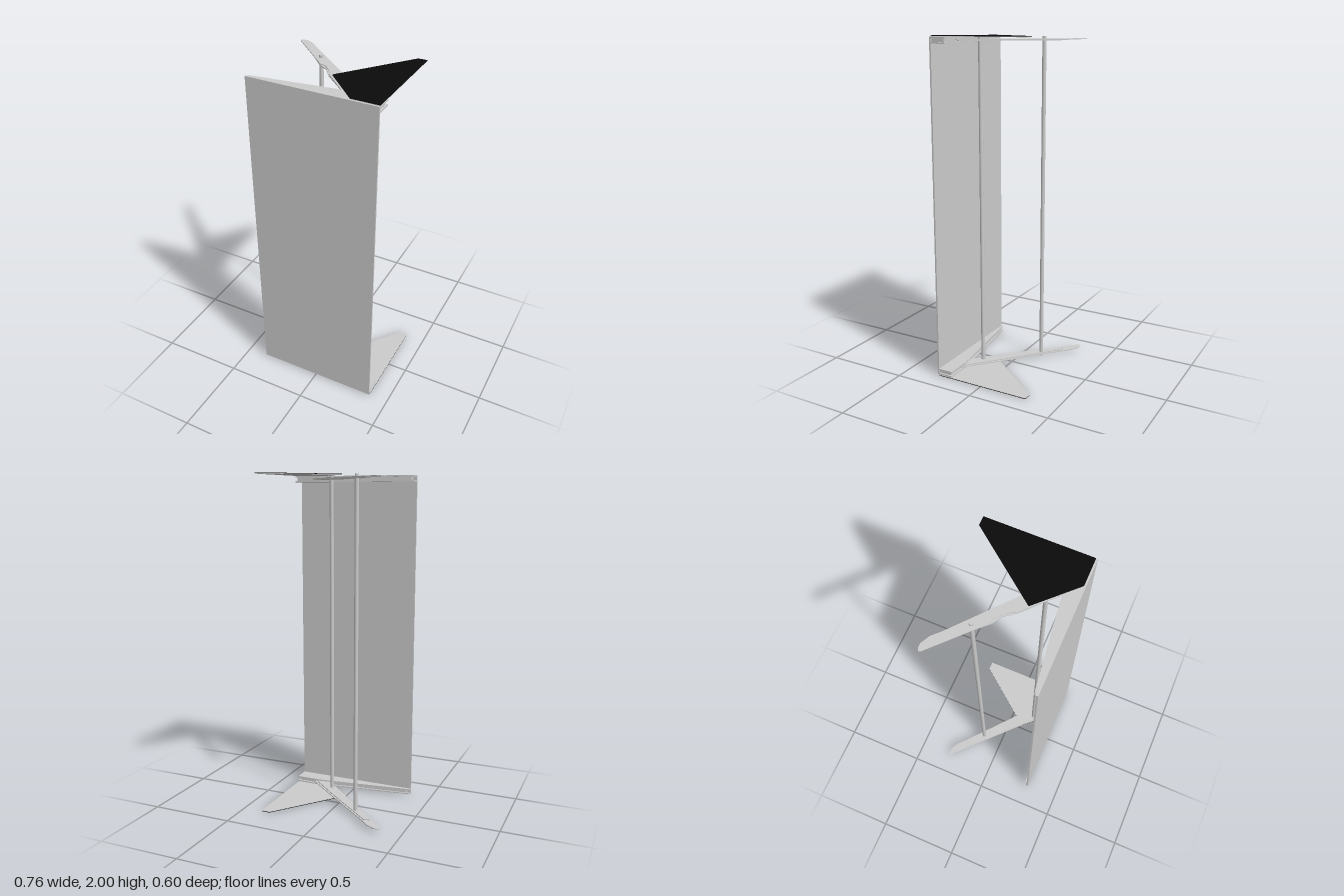
import * as THREE from 'three';

const grey = new THREE.MeshStandardMaterial({ color: 0xcccccc, side: THREE.DoubleSide });
const black = new THREE.MeshStandardMaterial({ color: 0x0a0a0a, side: THREE.DoubleSide });

// Flat slab from an (x, z) outline, between heights y0 and y1
function slab(name, outline, y0, y1, material = grey) {
  const shape = new THREE.Shape(outline.map(([x, z]) => new THREE.Vector2(x, -z)));
  const geo = new THREE.ExtrudeGeometry(shape, { depth: y1 - y0, bevelEnabled: false });
  geo.rotateX(-Math.PI / 2);
  geo.translate(0, y0, 0);
  const mesh = new THREE.Mesh(geo, material);
  mesh.name = name;
  return mesh;
}

const wing = [[0.02, 0.09], [0.22, 0.29], [0.38, 0.29], [0.38, -0.3], [0.328, -0.3]];
const wedge = [[-0.372, 0.29], [-0.358, 0.277], [0.215, 0.2], [0.38, 0.2], [0.38, 0.29]];
const wedgeCore = [[-0.35, 0.29], [-0.34, 0.283], [0.215, 0.212], [0.37, 0.212], [0.37, 0.29]];
const armBack = [[0.22, 0.285], [0.26, 0.27], [0.26, 0.2], [0.07, 0.035], [-0.25, -0.235],
  [-0.29, -0.275], [-0.34, -0.3], [-0.365, -0.3], [-0.38, -0.293], [-0.378, -0.283]];
const gripNotch = [[-0.12, -0.042], [-0.1, -0.043], [-0.075, -0.024], [-0.045, 0.008], [-0.028, 0.03], [-0.024, 0.046]];
const armRib = [[0.2, 0.255], [0.24, 0.25], [0.24, 0.2], [0.06, 0.04], [-0.25, -0.222],
  [-0.29, -0.215], [-0.12, -0.038], [-0.07, -0.01], [-0.02, 0.055]];

export function createModel() {
  const model = new THREE.Group();
  model.name = 'standingPanel';

  // Front panel
  const panel = new THREE.Mesh(new THREE.BoxGeometry(0.752, 1.986, 0.01), grey);
  panel.name = 'frontPanel';
  panel.position.set(0.004, 1.001, 0.295);
  model.add(panel);

  // Matching end assemblies at the top and the bottom
  for (const top of [true, false]) {
    const end = new THREE.Group();
    end.name = top ? 'topEnd' : 'bottomEnd';
    // d0 and d1 are depths measured inward from the end
    const add = (name, outline, d0, d1, material) =>
      end.add(top ? slab(name, outline, 2 - d1, 2 - d0, material) : slab(name, outline, d0, d1, material));

    // Side wing, dark outside and grey inside
    add('wingCover', wing, 0, 0.003, black);
    add('wingLining', wing, 0.003, 0.006);

    // Grooved wedge bracket behind the panel
    add('bracketOuterPlate', wedge, 0.008, 0.016);
    add('bracketCore', wedgeCore, 0.016, 0.036);
    add('bracketInnerPlate', wedge, 0.036, 0.044);

    // Slanted arm with a raised rib; the top arm has a finger notch
    add('arm', top ? [...armBack, ...gripNotch] : armBack, 0.022, 0.027);
    add('armRib', armRib, 0.027, 0.032);
    model.add(end);
  }

  // Upright rods joining the arms
  for (const [x, z] of [[0.11, 0.143], [-0.16, -0.124]]) {
    const rod = new THREE.Mesh(new THREE.CylinderGeometry(0.012, 0.012, 1.986, 24), grey);
    rod.name = 'rod';
    rod.position.set(x, 1, z);
    model.add(rod);
  }
  return model;
}
